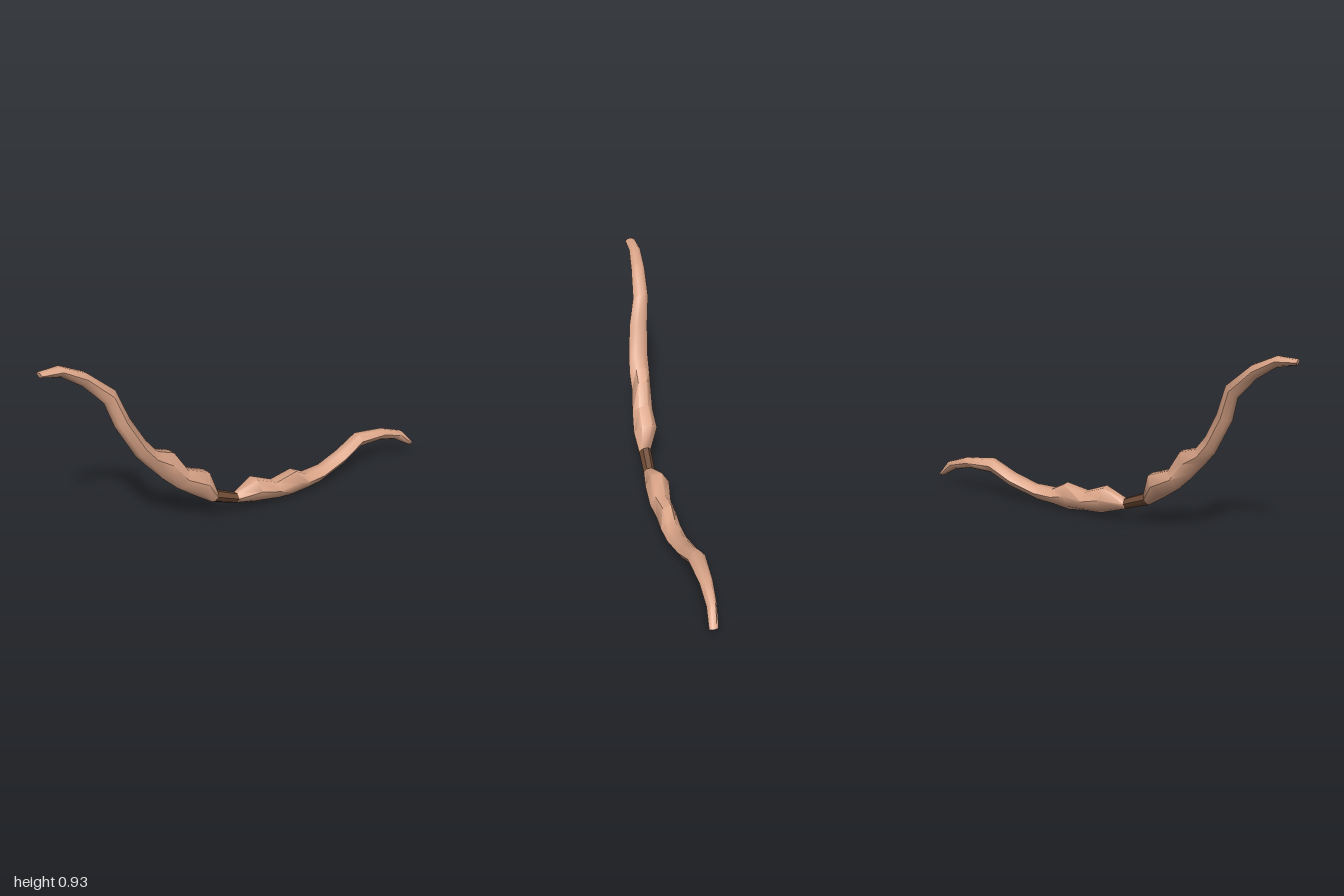
import * as THREE from 'three';
import { toCreasedNormals } from 'three/addons/utils/BufferGeometryUtils.js';

// cross-section: [sideways -1..1, depth 0 = string side .. 1 = outer ridge]
const SECTION = [[-0.45, 0], [0.45, 0], [1, 0.4], [0.6, 0.82], [0, 1], [-0.6, 0.82], [-1, 0.4]];

// stations: [inner z, inner y, outer z, outer y, x min, x max]
const UPPER = [
  [1.0, 0.92, 0.995, 0.895, -0.183, -0.132],
  [0.90, 0.925, 0.898, 0.873, -0.178, -0.12],
  [0.79, 0.873, 0.807, 0.81, -0.165, -0.095],
  [0.667, 0.766, 0.72, 0.713, -0.145, -0.065],
  [0.62, 0.627, 0.689, 0.60, -0.125, -0.03],
  [0.56, 0.51, 0.603, 0.434, -0.1, 0.0],
  [0.506, 0.44, 0.555, 0.375, -0.09, 0.015],
  [0.426, 0.413, 0.48, 0.29, -0.07, 0.03],
  [0.362, 0.31, 0.41, 0.222, -0.055, 0.052],
  [0.255, 0.268, 0.32, 0.157, -0.043, 0.08],
  [0.217, 0.16, 0.244, 0.107, 0.01, 0.072],
];
const GRIP = [
  [0.217, 0.16, 0.244, 0.107, 0.01, 0.072],
  [0.11, 0.114, 0.115, 0.062, 0.03, 0.088],
];
const LOWER = [
  [0.11, 0.114, 0.115, 0.062, 0.03, 0.088],
  [0.0, 0.157, -0.02, 0.021, 0.0, 0.122],
  [-0.11, 0.112, -0.12, 0.012, 0.03, 0.136],
  [-0.228, 0.134, -0.21, 0.0, 0.042, 0.142],
  [-0.297, 0.097, -0.29, 0.012, 0.05, 0.146],
  [-0.405, 0.10, -0.37, 0.02, 0.056, 0.15],
  [-0.528, 0.14, -0.54, 0.07, 0.06, 0.152],
  [-0.65, 0.20, -0.655, 0.126, 0.067, 0.15],
  [-0.82, 0.18, -0.785, 0.128, 0.093, 0.155],
  [-0.935, 0.14, -0.89, 0.107, 0.118, 0.167],
  [-1.0, 0.065, -0.973, 0.057, 0.138, 0.182],
];

// skins the stations with quads and closes both ends
function loft(stations, section, crease) {
  const n = section.length;
  const positions = [];
  const index = [];
  for (const [zi, yi, zo, yo, x0, x1] of stations) {
    for (const [u, t] of section) {
      positions.push((x0 + x1) / 2 + u * (x1 - x0) / 2, yi + (yo - yi) * t, zi + (zo - zi) * t);
    }
  }
  for (let i = 0; i < stations.length - 1; i++) {
    for (let k = 0; k < n; k++) {
      const a = i * n + k, b = i * n + (k + 1) % n;
      index.push(a, b, b + n, a, b + n, a + n);
    }
  }
  const last = (stations.length - 1) * n;
  for (let k = 1; k < n - 1; k++) {
    index.push(0, k + 1, k);
    index.push(last, last + k, last + k + 1);
  }
  const geometry = new THREE.BufferGeometry();
  geometry.setAttribute('position', new THREE.Float32BufferAttribute(positions, 3));
  geometry.setIndex(index);
  return toCreasedNormals(geometry, crease);
}

export function createModel() {
  const wood = new THREE.MeshStandardMaterial({ color: 0xdba588 });
  wood.name = 'pale wood';
  const leather = new THREE.MeshStandardMaterial({ color: 0x6e4a34 });
  leather.name = 'dark leather';

  const group = new THREE.Group();
  group.name = 'bow';
  const add = (name, geometry, material) => {
    const mesh = new THREE.Mesh(geometry, material);
    mesh.name = name;
    group.add(mesh);
  };

  // two curved limbs joined by a short wrapped grip
  add('upperLimb', loft(UPPER, SECTION, 1.0), wood);
  add('grip', loft(GRIP, SECTION, 0.6), leather);
  add('lowerLimb', loft(LOWER, SECTION, 1.0), wood);
  return group;
}
